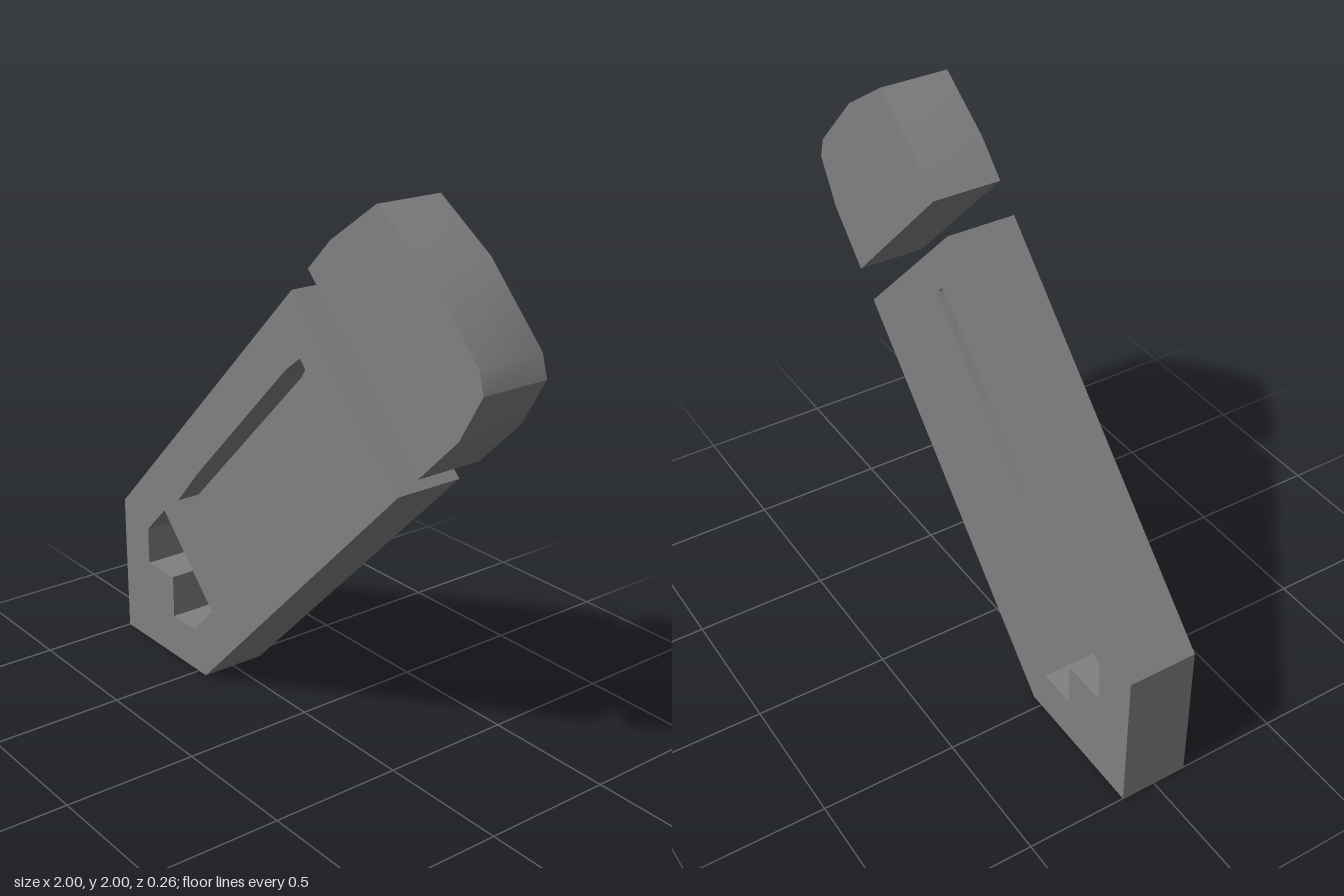
import * as THREE from 'three';
import { toCreasedNormals } from 'three/addons/utils/BufferGeometryUtils.js';

const DEPTH = 0.256;

const points = (list) => list.map(([x, y]) => new THREE.Vector2(x, y));

// Flat outline with optional cut-outs, extruded evenly about z = 0
function slab(name, outline, holes, material) {
  const shape = new THREE.Shape(points(outline));
  for (const hole of holes) shape.holes.push(new THREE.Path(points(hole)));
  const geometry = new THREE.ExtrudeGeometry(shape, { depth: DEPTH, bevelEnabled: false });
  geometry.translate(0, 0, -DEPTH / 2);
  const mesh = new THREE.Mesh(toCreasedNormals(geometry, THREE.MathUtils.degToRad(32)), material);
  mesh.name = name;
  return mesh;
}

export function createModel() {
  const grey = new THREE.MeshStandardMaterial({ color: 0x808080 });
  grey.name = 'grey';

  // Pencil shaft ending in a square corner tip
  const shaft = [[-1, 0], [-0.453, 0], [0.643, 1.1], [0.098, 1.647], [-1, 0.55]];

  // Narrow highlight slot along the shaft
  const slot = [
    [-0.61, 0.677], [-0.578, 0.647], [-0.485, 0.733], [0.152, 1.365],
    [0.17, 1.395], [0.14, 1.425], [0.062, 1.365], [-0.48, 0.823],
  ];

  // Stepped opening behind the tip
  const tipOpening = [
    [-0.71, 0.602], [-0.402, 0.293], [-0.523, 0.17], [-0.665, 0.17],
    [-0.665, 0.337], [-0.833, 0.337], [-0.833, 0.482],
  ];

  // Separate eraser with rounded shoulders
  const eraser = [
    [0.183, 1.735], [0.73, 1.187], [0.905, 1.362], [1, 1.527],
    [0.977, 1.605], [0.745, 1.848], [0.515, 2], [0.295, 1.848],
  ];

  const model = new THREE.Group();
  model.name = 'pencil';
  model.add(slab('pencilShaft', shaft, [slot, tipOpening], grey));
  model.add(slab('eraser', eraser, [], grey));
  return model;
}
